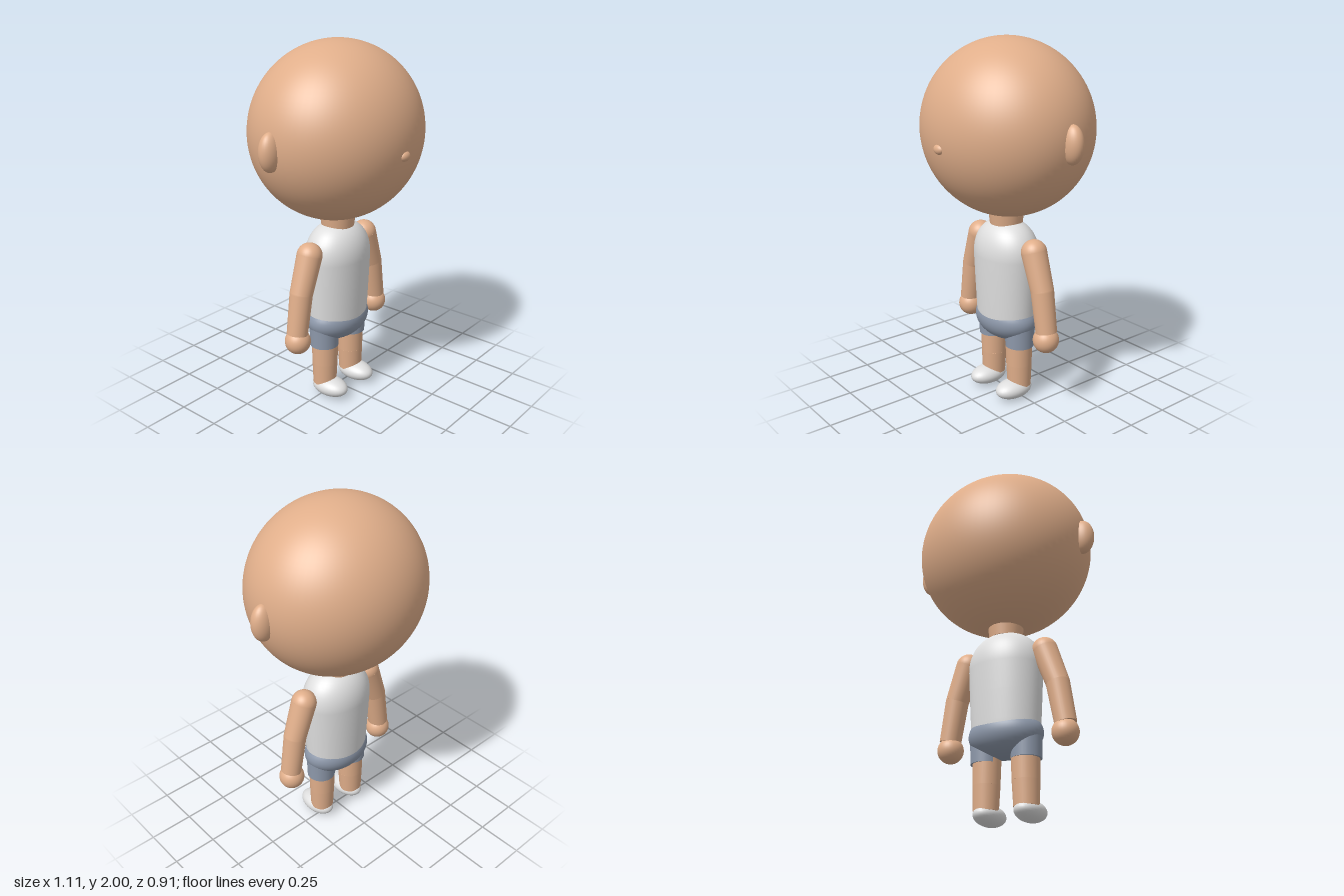
import * as THREE from 'three';

export function createModel() {
  const model = new THREE.Group();
  model.name = 'figure';

  const mat = (name, color) => {
    const m = new THREE.MeshStandardMaterial({ color });
    m.name = name;
    return m;
  };
  const skin = mat('skin', 0xe0ae8a);
  const white = mat('white cloth', 0xdfdfdf);
  const blue = mat('grey blue cloth', 0x8e99ab);

  const add = (name, geometry, material, parent = model) => {
    const mesh = new THREE.Mesh(geometry, material);
    mesh.name = name;
    parent.add(mesh);
    return mesh;
  };

  // Sphere stretched to three radii
  const ellipsoid = (name, material, pos, radii, parent, seg = 40) => {
    const mesh = add(name, new THREE.SphereGeometry(1, seg, Math.round(seg * 0.7)), material, parent);
    mesh.position.set(...pos);
    mesh.scale.set(...radii);
    return mesh;
  };

  // Tapered limb between two points
  const limb = (name, material, from, to, rFrom, rTo, parent) => {
    const a = new THREE.Vector3(...from), b = new THREE.Vector3(...to);
    const dir = b.clone().sub(a);
    const mesh = add(name, new THREE.CylinderGeometry(rTo, rFrom, dir.length(), 32), material, parent);
    mesh.position.copy(a).add(b).multiplyScalar(0.5);
    mesh.quaternion.setFromUnitVectors(new THREE.Vector3(0, 1, 0), dir.normalize());
    return mesh;
  };

  const lathe = (name, points, material, depth) => {
    const mesh = add(name, new THREE.LatheGeometry(points.map(p => new THREE.Vector2(...p)), 48), material);
    mesh.scale.z = depth;
    return mesh;
  };

  // Head, nose and neck
  ellipsoid('head', skin, [0, 1.525, -0.005], [0.495, 0.475, 0.447], model, 72);
  ellipsoid('nose', skin, [0, 1.458, 0.43], [0.037, 0.027, 0.024], model, 24);
  const neck = add('neck', new THREE.CylinderGeometry(0.106, 0.09, 0.13, 32), skin);
  neck.position.set(0, 1.065, 0);

  // Shirt: slightly tapered barrel with a domed shoulder line
  const shirt = [[0, 0.47], [0.19, 0.47], [0.19, 0.47], [0.193, 0.5], [0.202, 0.66]];
  for (let i = 0; i <= 14; i++) {
    const t = (i / 14) * Math.PI / 2;
    shirt.push([0.21 * Math.pow(Math.max(Math.cos(t), 0), 0.9), 0.82 + 0.205 * Math.pow(Math.sin(t), 0.9)]);
  }
  lathe('shirt', shirt, white, 0.765);

  // Shorts: rounded seat with a flat waist
  const seat = [];
  for (let i = 0; i <= 16; i++) {
    const t = -Math.PI / 2 + (i / 16) * (Math.PI / 2 + 0.42);
    seat.push([0.208 * Math.cos(t), 0.452 + 0.125 * Math.sin(t)]);
  }
  seat.push([0.19, 0.503], [0.19, 0.503], [0, 0.503]);
  lathe('shortsSeat', seat, blue, 0.72);

  // Mirrored parts
  for (const s of [1, -1]) {
    const side = s > 0 ? 'left' : 'right';
    const arm = new THREE.Group(), leg = new THREE.Group();
    arm.name = side + 'Arm';
    leg.name = side + 'Leg';
    model.add(arm, leg);

    ellipsoid(side + 'Ear', skin, [s * 0.488, 1.5, -0.02], [0.066, 0.101, 0.052], model, 32);

    // Arm with rounded shoulder and elbow
    const shoulder = [s * 0.235, 0.888, 0], elbow = [s * 0.305, 0.69, 0], wrist = [s * 0.342, 0.465, 0];
    ellipsoid('shoulder', skin, shoulder, [0.07, 0.07, 0.07], arm, 32);
    limb('upperArm', skin, shoulder, elbow, 0.07, 0.063, arm);
    ellipsoid('elbow', skin, elbow, [0.063, 0.063, 0.063], arm, 32);
    limb('forearm', skin, elbow, wrist, 0.063, 0.058, arm);
    ellipsoid('hand', skin, [s * 0.339, 0.42, 0], [0.071, 0.071, 0.071], arm, 32);

    // Leg with short trouser leg and shoe
    limb('shortsLeg', blue, [s * 0.119, 0.312, 0], [s * 0.119, 0.45, 0], 0.08, 0.084, leg);
    limb('thigh', skin, [s * 0.114, 0.2, 0], [s * 0.112, 0.4, 0], 0.072, 0.077, leg);
    limb('shin', skin, [s * 0.116, 0.07, 0], [s * 0.114, 0.2, 0], 0.066, 0.072, leg);
    ellipsoid('shoe', white, [s * 0.117, 0.054, 0.04], [0.074, 0.054, 0.116], leg, 32);
  }
  return model;
}
